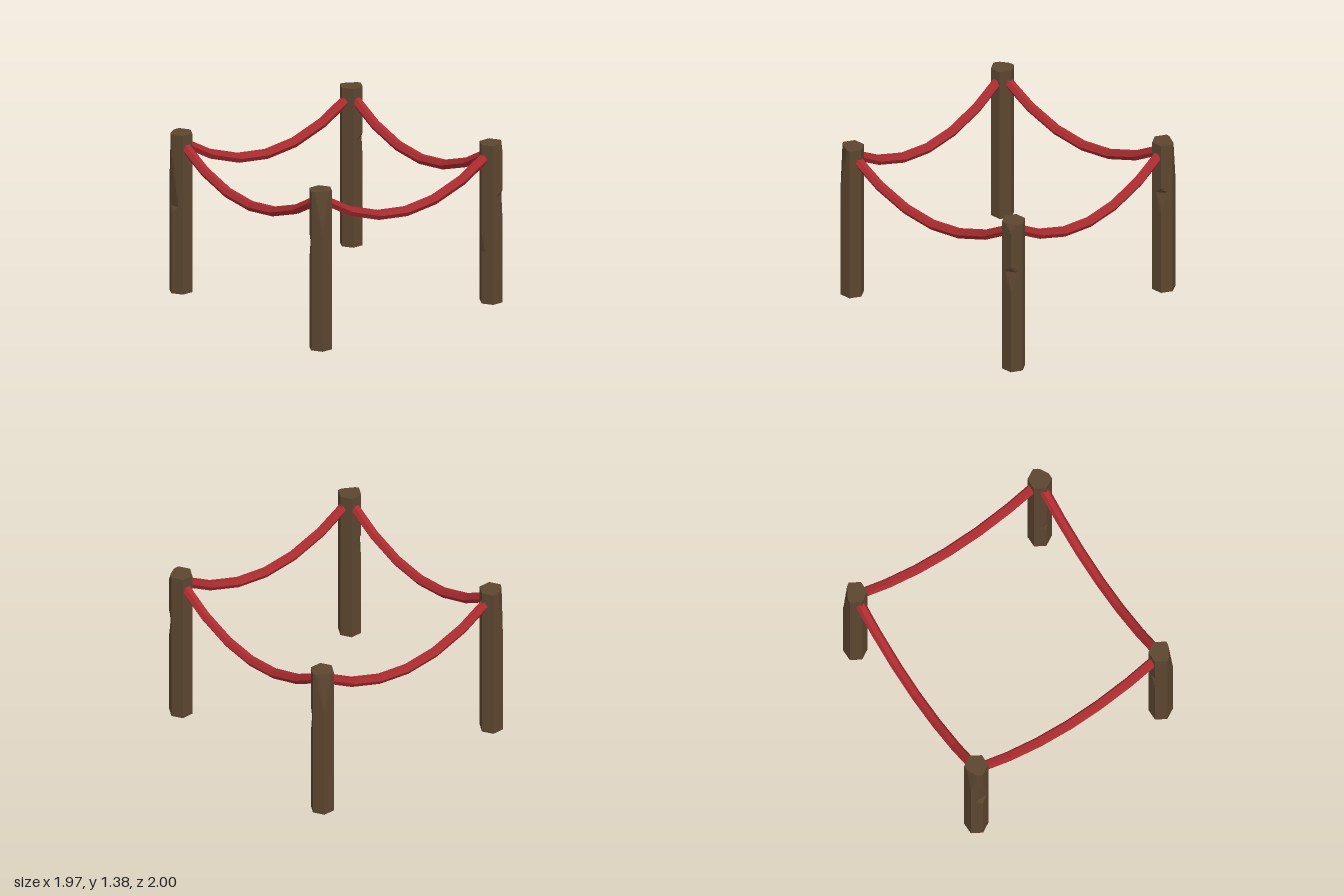
import * as THREE from 'three';

const HEIGHT = 1.375, RADIUS = 0.1, SPREAD = 0.9;

// Hexagonal post; each chip cuts a corner edge: [degrees, low y, deepest y, high y, depth]
function postGeometry(chips) {
  const geo = new THREE.CylinderGeometry(RADIUS, RADIUS, HEIGHT, 30, 55);
  geo.translate(0, HEIGHT / 2, 0);
  const p = geo.attributes.position;
  for (let i = 0; i < p.count; i++) {
    let x = p.getX(i), z = p.getZ(i);
    const y = p.getY(i);
    if (Math.hypot(x, z) < 0.01) continue;
    // Flatten the round section to six sides with corners at +z and -z
    const sector = Math.PI / 3;
    const a = Math.atan2(x, z) + Math.PI * 2 + 1e-6;
    const r = Math.cos(sector / 2) / Math.cos((a % sector) - sector / 2);
    x *= r;
    z *= r;
    for (const [deg, low, deep, high, depth] of chips) {
      if (y < low || y > high) continue;
      const t = y <= deep ? (y - low) / (deep - low) : (high - y) / (high - deep);
      const dx = Math.sin(deg * Math.PI / 180), dz = Math.cos(deg * Math.PI / 180);
      const excess = x * dx + z * dz - (RADIUS - depth * t);
      if (excess > 0) {
        x -= dx * excess;
        z -= dz * excess;
      }
    }
    p.setXYZ(i, x, y, z);
  }
  geo.computeVertexNormals();
  return geo;
}

// Six-sided rope hanging in a parabola along x
function ropeGeometry() {
  const geo = new THREE.CylinderGeometry(0.043, 0.043, 1.77, 6, 6);
  geo.rotateZ(Math.PI / 2);
  const p = geo.attributes.position;
  for (let i = 0; i < p.count; i++) {
    const x = p.getX(i), dy = p.getY(i);
    const slope = Math.atan(2 * 0.388 * x);
    p.setX(i, x - dy * Math.sin(slope));
    p.setY(i, 0.982 + 0.388 * x * x + dy * Math.cos(slope));
  }
  geo.computeVertexNormals();
  return geo;
}

export function createModel() {
  const group = new THREE.Group();
  const wood = new THREE.MeshStandardMaterial({ color: 0x5c4630, flatShading: true });
  wood.name = 'dark wood';
  const red = new THREE.MeshStandardMaterial({ color: 0xac2c30, flatShading: true });
  red.name = 'red rope';

  // Posts with their worn corners
  const posts = [
    ['frontLeftPost', 1, 1, [[-60, 0.76, 0.925, 0.975, 0.03], [60, 1.03, HEIGHT, 2, 0.035]]],
    ['frontRightPost', -1, 1, [[0, 0.7, 0.75, 1.23, 0.03], [-60, 1.0, HEIGHT, 2, 0.025]]],
    ['backLeftPost', 1, -1, [[120, 0.76, 0.925, 0.975, 0.03], [0, 0.4, 0.45, 0.6, 0.015],
      [120, 1.3, HEIGHT, 2, 0.025]]],
    ['backRightPost', -1, -1, [[120, 0.76, 0.925, 0.975, 0.03], [-120, 1.03, HEIGHT, 2, 0.035]]],
  ];
  for (const [name, sx, sz, chips] of posts) {
    const post = new THREE.Mesh(postGeometry(chips), wood);
    post.name = name;
    post.position.set(sx * SPREAD, 0, sz * SPREAD);
    group.add(post);
  }

  // One rope on each side of the square
  const ropeGeo = ropeGeometry();
  ['frontRope', 'leftRope', 'backRope', 'rightRope'].forEach((name, i) => {
    const rope = new THREE.Mesh(ropeGeo, red);
    const angle = i * Math.PI / 2;
    rope.name = name;
    rope.rotation.y = angle;
    rope.position.set(Math.sin(angle) * SPREAD, 0, Math.cos(angle) * SPREAD);
    group.add(rope);
  });
  return group;
}
